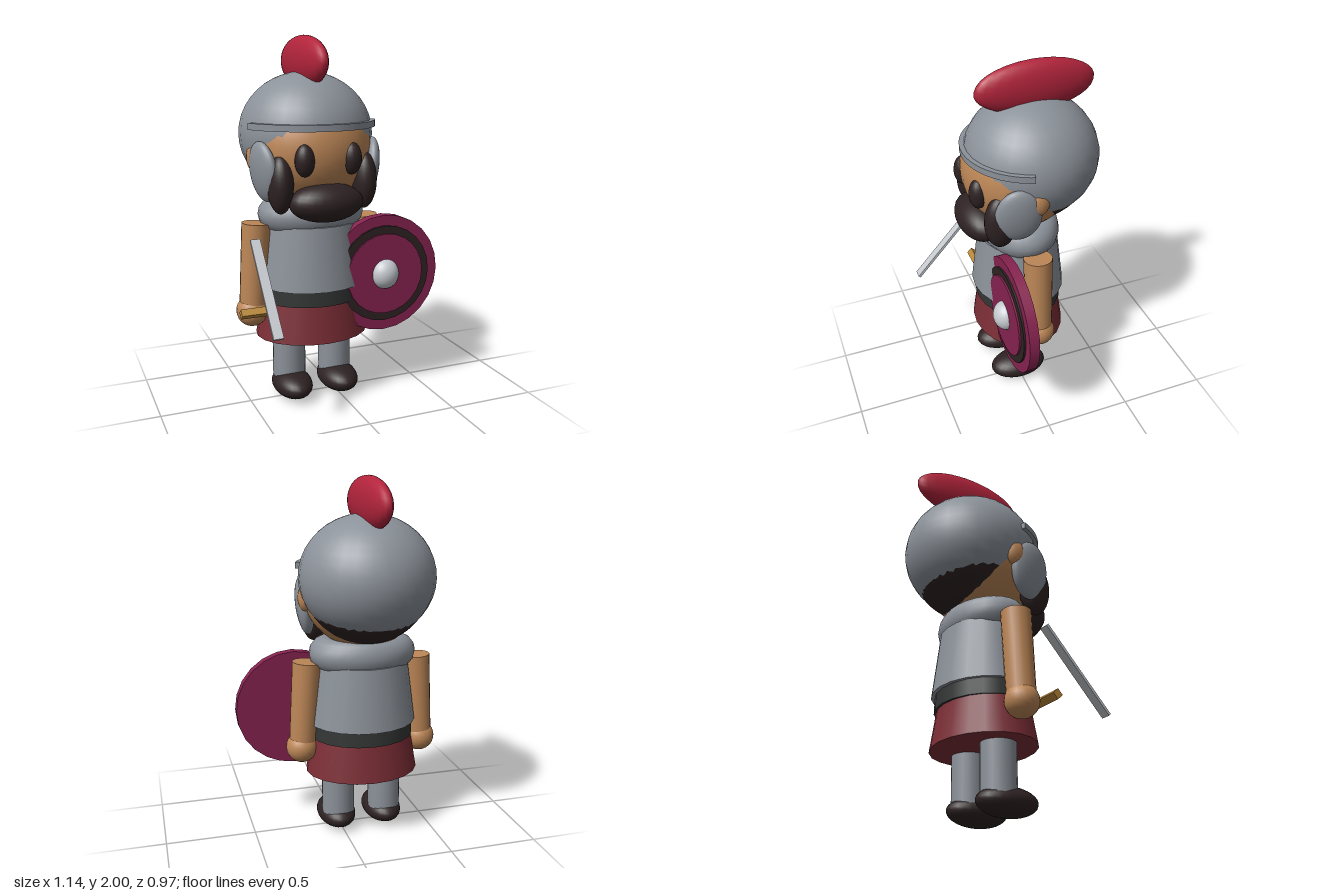
import * as THREE from 'three';

const mat = (name, color) => {
  const m = new THREE.MeshStandardMaterial({ color });
  m.name = name;
  return m;
};

export function createModel() {
  const steel = mat('steel grey', 0x8c929a);
  const skin = mat('skin', 0xbd8757);
  const dark = mat('dark brown', 0x2e2223);
  const beltMat = mat('belt charcoal', 0x343636);
  const skirtMat = mat('skirt red', 0x7c2e36);
  const plumeMat = mat('plume red', 0xb3243c);
  const shieldMat = mat('shield crimson', 0x872350);
  const silver = mat('silver', 0xc6cacf);
  const gold = mat('gold', 0xbb8838);

  const model = new THREE.Group();
  // The figure stands left of centre because the shield sticks out on one side
  const figure = new THREE.Group();
  figure.name = 'figure';
  figure.position.x = -0.12;
  model.add(figure);

  function add(name, geometry, material, x, y, z) {
    const mesh = new THREE.Mesh(geometry, material);
    mesh.name = name;
    mesh.position.set(x, y, z);
    figure.add(mesh);
    return mesh;
  }
  function ellipsoid(name, material, [x, y, z], [rx, ry, rz], seg = 24) {
    const g = new THREE.SphereGeometry(1, seg, Math.round(seg * 0.7));
    const mesh = add(name, g, material, x, y, z);
    mesh.scale.set(rx, ry, rz);
    return mesh;
  }
  // Upright tapered tube with an oval section
  function taper(name, material, y0, y1, rBottom, rTop, depth) {
    const g = new THREE.CylinderGeometry(rTop, rBottom, y1 - y0, 20);
    add(name, g, material, 0, (y0 + y1) / 2, -0.04).scale.z = depth;
  }
  // Round plate facing the front
  function plate(name, material, radius, z0, z1) {
    const g = new THREE.CylinderGeometry(radius, radius, z1 - z0, 24).rotateX(Math.PI / 2);
    add(name, g, material, 0.36, 0.705, (z0 + z1) / 2);
  }

  // Head: face, hair and helmet overlap so each shows where it bulges out
  ellipsoid('head', skin, [0, 1.41, -0.05], [0.335, 0.33, 0.315], 36);
  ellipsoid('hair', dark, [0, 1.445, -0.11], [0.345, 0.33, 0.345], 36);
  ellipsoid('helmet', steel, [0, 1.475, -0.12], [0.367, 0.335, 0.367], 28);
  ellipsoid('plume', plumeMat, [0, 1.86, -0.14], [0.07, 0.14, 0.33]);
  ellipsoid('beard', dark, [0, 1.14, 0.19], [0.205, 0.105, 0.12]);

  // Helmet brim: a flat arc round the forehead
  const brim = new THREE.Shape();
  const a0 = 0.32, a1 = Math.PI - a0;
  brim.absarc(0, 0, 0.382, a0, a1, false);
  brim.absarc(0, 0, 0.33, a1, a0, true);
  const brimGeo = new THREE.ExtrudeGeometry(brim, { depth: 0.035, bevelEnabled: false, curveSegments: 20 });
  add('helmetBrim', brimGeo.rotateX(Math.PI / 2), steel, 0, 1.55, -0.12);

  // Torso and clothing
  const collar = new THREE.TorusGeometry(0.21, 0.09, 14, 28).rotateX(Math.PI / 2);
  add('collar', collar, steel, 0, 1.05, -0.04).scale.z = 0.74;
  taper('neck', skin, 0.95, 1.15, 0.16, 0.16, 0.8);
  taper('torso', steel, 0.655, 1.0, 0.302, 0.255, 0.87);
  taper('belt', beltMat, 0.57, 0.67, 0.288, 0.284, 0.85);
  taper('skirt', skirtMat, 0.365, 0.585, 0.32, 0.28, 0.82);

  // Paired parts
  for (const s of [1, -1]) {
    const side = s > 0 ? 'left' : 'right';
    ellipsoid(side + 'Eye', dark, [s * 0.13, 1.37, 0.225], [0.053, 0.085, 0.05], 18);
    ellipsoid(side + 'Ear', skin, [s * 0.32, 1.365, -0.04], [0.04, 0.075, 0.058], 16);
    ellipsoid(side + 'Sideburn', dark, [s * 0.235, 1.24, 0.14], [0.068, 0.155, 0.09]);
    const guard = ellipsoid(side + 'CheekGuard', steel, [s * 0.3, 1.3, 0.065], [0.05, 0.162, 0.125]);
    guard.rotation.set(0, -s * 0.2, -s * 0.13);

    const arm = new THREE.CylinderGeometry(0.08, 0.074, 0.49, 20);
    add(side + 'Arm', arm, skin, s * 0.33, 0.765, -0.04).rotation.z = s * 0.062;
    ellipsoid(side + 'Hand', skin, [s * 0.348, 0.52, -0.04], [0.088, 0.088, 0.088], 20);

    const leg = new THREE.CylinderGeometry(0.092, 0.092, 0.32, 20);
    add(side + 'Leg', leg, steel, s * 0.138, 0.24, -0.04);
    ellipsoid(side + 'Shoe', dark, [s * 0.138, 0.078, 0.007], [0.108, 0.075, 0.17]);
  }

  // Shield
  plate('shieldDisc', shieldMat, 0.33, 0.097, 0.153);
  plate('shieldRing', dark, 0.272, 0.15, 0.164);
  plate('shieldCentre', shieldMat, 0.228, 0.155, 0.174);
  ellipsoid('shieldBoss', silver, [0.36, 0.705, 0.165], [0.08, 0.085, 0.07]);

  // Sword slanting forward and down
  const tilt = -0.736;
  add('swordBlade', new THREE.BoxGeometry(0.053, 0.56, 0.016), silver, -0.365, 0.742, 0.288).rotation.x = tilt;
  add('swordGuard', new THREE.BoxGeometry(0.17, 0.04, 0.04), gold, -0.366, 0.552, 0.1).rotation.x = tilt;

  return model;
}
